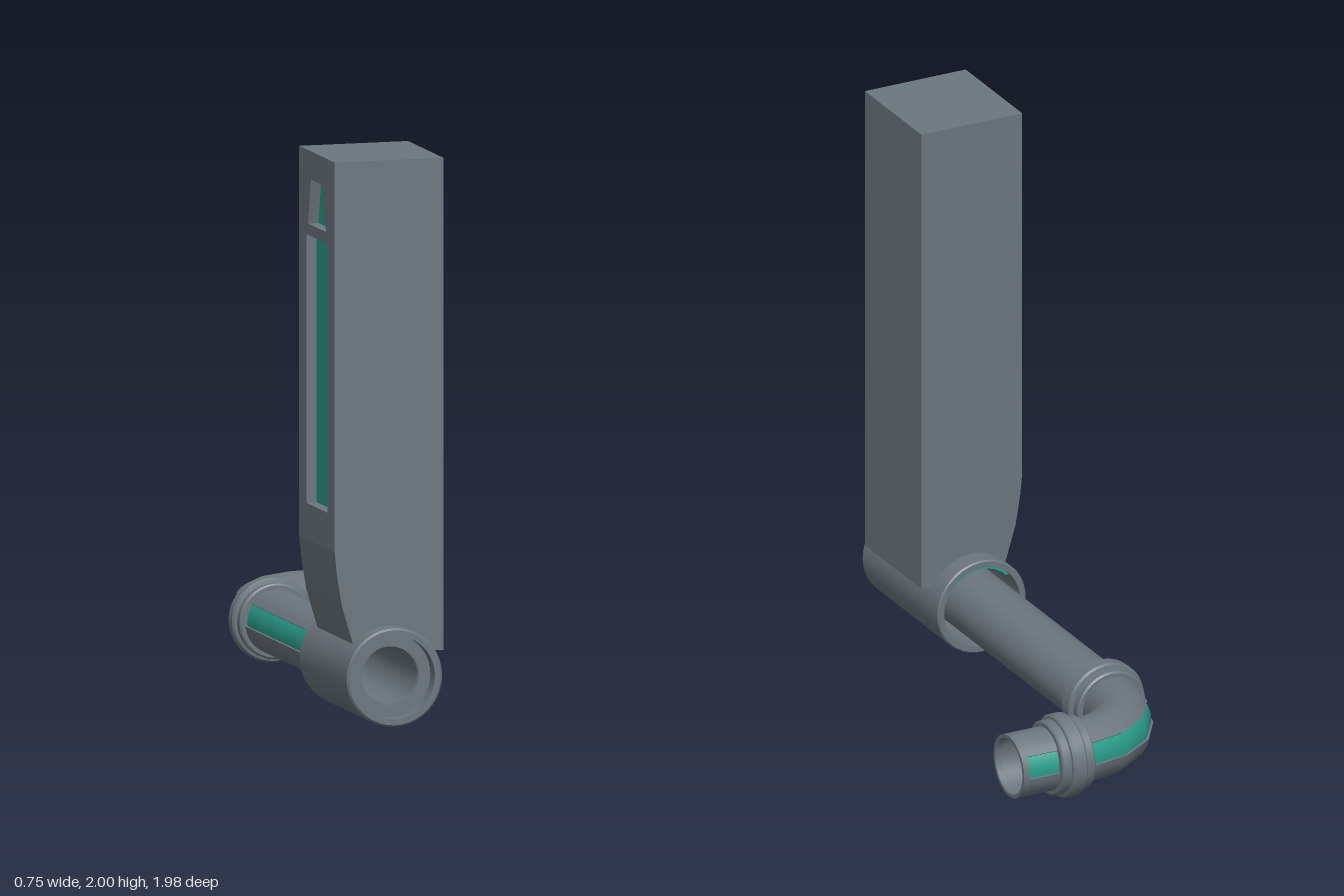
import * as THREE from 'three';
import { toCreasedNormals } from 'three/addons/utils/BufferGeometryUtils.js';

const PX = -0.18, PY = 0.18, ENDZ = -0.84; // pipe axis and height of the bore
const R = 0.115, RI = 0.102;
const SLOT = [-6, 36].map(THREE.MathUtils.degToRad);
const FULL = [0, Math.PI * 2];

// Frames: [x, z, outward nx, outward nz]
const alongZ = (a, b) => [[PX, a, -1, 0], [PX, b, -1, 0]];
const alongX = (a, b) => [[a, ENDZ, 0, -1], [b, ENDZ, 0, -1]];
const bend = Array.from({ length: 5 }, (_, i) => {
  const t = i * Math.PI / 8, c = Math.cos(t), s = Math.sin(t);
  return [0.1 - 0.28 * c, -0.56 - 0.28 * s, -c, -s];
});

// Sweeps a thick arc (angle 0 = outward, 90 degrees = up) through the frames
function sweepArc(frames, [a0, a1], rOut, rIn) {
  const n = Math.max(6, Math.round((a1 - a0) / (Math.PI / 16)));
  const loop = [];
  for (let i = 0; i <= n; i++) loop.push([rOut, a0 + (a1 - a0) * i / n]);
  for (let i = n; i >= 0; i--) loop.push([rIn, a0 + (a1 - a0) * i / n]);
  const m = loop.length, pos = [], idx = [];
  for (const [x, z, nx, nz] of frames) {
    for (const [r, a] of loop) {
      const c = r * Math.cos(a);
      pos.push(x + nx * c, PY + r * Math.sin(a), z + nz * c);
    }
  }
  const quad = (a, b, c, d) => idx.push(a, b, c, a, c, d);
  for (let k = 0; k < frames.length - 1; k++) {
    for (let i = 0; i < m; i++) {
      const j = (i + 1) % m;
      quad(k * m + i, k * m + j, (k + 1) * m + j, (k + 1) * m + i);
    }
  }
  const e = (frames.length - 1) * m;
  for (let i = 0; i < n; i++) {
    quad(e + i, e + i + 1, e + m - 2 - i, e + m - 1 - i);
    quad(m - 1 - i, m - 2 - i, i + 1, i);
  }
  const g = new THREE.BufferGeometry();
  g.setAttribute('position', new THREE.Float32BufferAttribute(pos, 3));
  g.setIndex(idx);
  return toCreasedNormals(g, 0.6);
}

const lathe = pts => toCreasedNormals(
  new THREE.LatheGeometry(pts.map(p => new THREE.Vector2(...p)), 40), 0.6);
const polygon = pts => new THREE.Shape(pts.map(p => new THREE.Vector2(...p)));

export function createModel() {
  const grey = new THREE.MeshStandardMaterial({ color: 0x6c767e });
  grey.name = 'slate grey';
  const teal = new THREE.MeshStandardMaterial({ color: 0x2a9d8a });
  teal.name = 'teal';
  const model = new THREE.Group();
  model.name = 'slottedPipeWithColumn';
  const add = (name, geo, mat) => {
    const mesh = new THREE.Mesh(geo, mat);
    mesh.name = name;
    model.add(mesh);
    return mesh;
  };

  // Slotted pipe runs, each with a teal strip set into the slot
  const runs = { straightPipe: alongZ(0.92, -0.56), elbow: bend, endPipe: alongX(0.1, 0.352) };
  for (const [name, frames] of Object.entries(runs)) {
    add(name, sweepArc(frames, [SLOT[1], SLOT[0] + Math.PI * 2], R, RI), grey);
    add(name + 'Strip', sweepArc(frames, SLOT, 0.107, 0.101), teal);
  }
  add('endPipeLip', sweepArc(alongX(0.352, 0.375), FULL, R, RI), grey);

  // Stepped coupling rings
  const ring = [[RI, -0.065], [0.128, -0.065], [0.134, -0.06], [0.134, -0.03], [0.144, -0.028],
    [0.15, -0.02], [0.15, 0.02], [0.144, 0.028], [0.134, 0.03], [0.134, 0.06], [0.128, 0.065], [RI, 0.065]];
  const couplingA = add('straightCoupling', lathe(ring).rotateX(Math.PI / 2), grey);
  couplingA.position.set(PX, PY, -0.495);
  const couplingB = add('endCoupling', lathe(ring).rotateZ(-Math.PI / 2), grey);
  couplingB.position.set(0.165, PY, ENDZ);

  // Hollow sleeve with a recessed front mouth and a teal lining on top
  const sleeve = add('sleeve', lathe([[0.15, 0.415], [0.17, 0.415], [0.175, 0.42], [0.175, 0.98],
    [0.168, 0.987], [0.147, 0.987], [0.147, 0.93], [0.104, 0.93], [0.104, 0.91], [0.15, 0.91],
    [0.15, 0.415]]).rotateX(Math.PI / 2), grey);
  sleeve.position.set(PX, PY, 0);
  add('sleeveLining', sweepArc(alongZ(0.9, 0.425), [0.75, 2.4], 0.149, 0.14), teal);

  // Column body: upper part stops short of the window wall, foot tapers inward
  const body = polygon([[0.02, 0.26], [0.02, 2], [-0.335, 2], [-0.335, 0.62], [-0.378, 0.62],
    [-0.37, 0.54], [-0.352, 0.43], [-0.31, 0.29], [-0.27, 0.312], [-0.18, 0.34],
    [-0.09, 0.312], [-0.043, 0.26]]);
  add('column', new THREE.ExtrudeGeometry(body, { depth: 0.425, bevelEnabled: false })
    .translate(0, 0, 0.49), grey);

  // Window wall (drawn in z, y) with two openings over teal panels
  const wall = polygon([[0.49, 0.62], [0.915, 0.62], [0.915, 2], [0.49, 2]]);
  wall.holes.push(polygon([[0.575, 0.75], [0.575, 1.7], [0.83, 1.7], [0.83, 0.75]]));
  wall.holes.push(polygon([[0.595, 1.74], [0.63, 1.9], [0.775, 1.9], [0.81, 1.74]]));
  add('windowWall', new THREE.ExtrudeGeometry(wall, { depth: 0.043, bevelEnabled: false })
    .rotateY(-Math.PI / 2).translate(-0.335, 0, 0), grey);
  add('windowPanel', new THREE.BoxGeometry(0.008, 1.2, 0.29).translate(-0.336, 1.33, 0.7), teal);

  return model;
}
